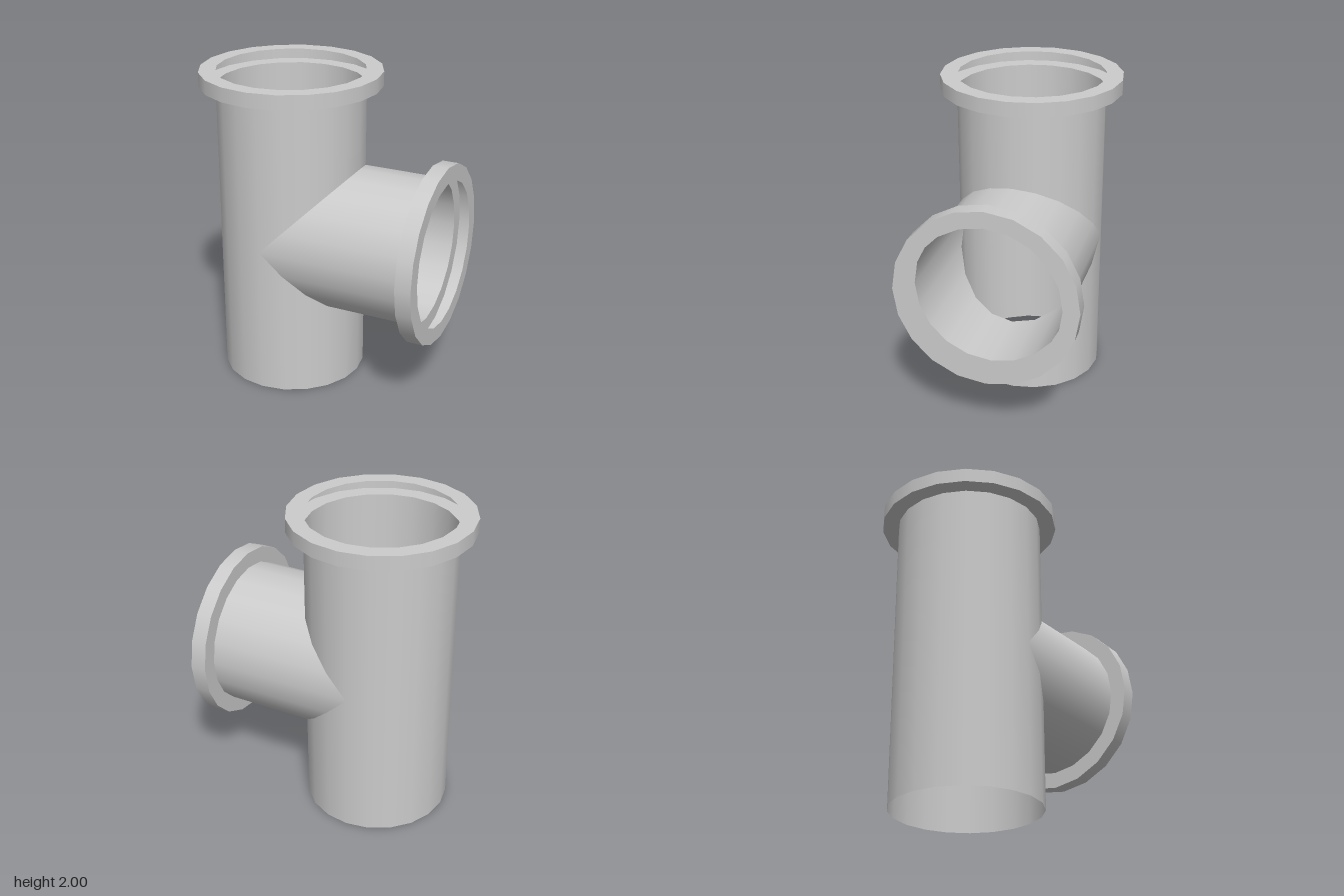
import * as THREE from 'three';

const SIDES = 20;
const R = 0.463;        // pipe radius
const COLLAR_R = 0.566; // collar radius
const CX = -0.234;      // x of the main pipe's axis
const CY = 0.955;       // y of the branch's axis

const material = new THREE.MeshStandardMaterial({ color: 0xcccccc, side: THREE.DoubleSide });

function mesh(name, geometry) {
  const m = new THREE.Mesh(geometry, material);
  m.name = name;
  return m;
}

// Open thin tube along y whose two ends are cut by rules of x
function cutTube(name, bottomAt, topAt) {
  const geometry = new THREE.CylinderGeometry(R, R, 1, SIDES, 1, true);
  const p = geometry.attributes.position;
  for (let i = 0; i < p.count; i++) {
    p.setY(i, (p.getY(i) > 0 ? topAt : bottomAt)(p.getX(i)));
  }
  return mesh(name, geometry);
}

// Hollow collar along y: outer band and two flat rings, open towards the bore
function collar(name, y0, y1) {
  const group = new THREE.Group();
  group.name = name;
  const band = mesh('collarBand', new THREE.CylinderGeometry(COLLAR_R, COLLAR_R, y1 - y0, SIDES, 1, true));
  band.position.y = (y0 + y1) / 2;
  group.add(band);
  for (const [ringName, y, turn] of [['collarFace', y1, -1], ['collarBack', y0, 1]]) {
    const ring = mesh(ringName, new THREE.RingGeometry(R, COLLAR_R, SIDES));
    ring.rotation.x = turn * Math.PI / 2;
    ring.position.y = y;
    group.add(ring);
  }
  return group;
}

export function createModel() {
  const model = new THREE.Group();
  model.name = 'pipeTee';

  // Upright pipe, split at the branch height with a mitred opening on its +x side
  const mainPipe = new THREE.Group();
  mainPipe.name = 'mainPipe';
  mainPipe.position.x = CX;
  mainPipe.add(
    cutTube('lowerPipe', () => 0, (x) => CY - Math.max(0, x)),
    cutTube('upperPipe', (x) => CY + Math.max(0, x), () => 1.91),
    collar('topCollar', 1.91, 2)
  );

  // Side branch: same tube laid along +x, its inner end mitred to meet the opening
  const branch = new THREE.Group();
  branch.name = 'branchPipe';
  branch.position.set(CX, CY, 0);
  branch.rotation.z = -Math.PI / 2;
  branch.add(
    cutTube('branchTube', (x) => Math.abs(x), () => 0.7 - CX),
    collar('branchCollar', 0.7 - CX, 0.8 - CX)
  );

  model.add(mainPipe, branch);
  return model;
}
